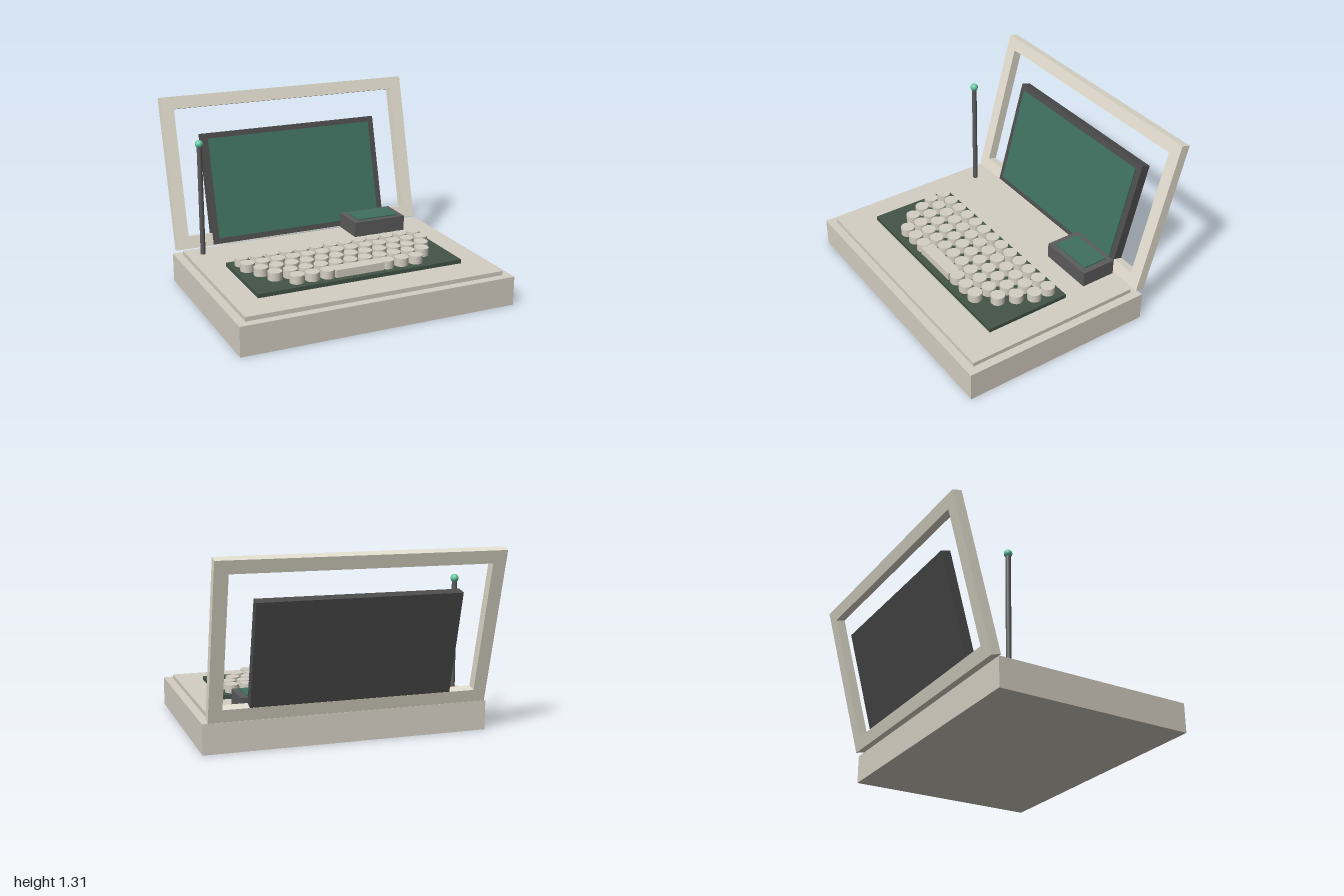
import * as THREE from 'three';

const mat = (color) => new THREE.MeshStandardMaterial({ color });

export function createModel() {
  const model = new THREE.Group();
  model.name = 'portableComputer';

  const shell = mat(0xd4cfc3);
  const lidShell = mat(0xe3decf);
  const dark = mat(0x5c5c5c);
  const panelDark = mat(0x4c4c4c);
  const trayGreen = mat(0x435546);
  const screenGreen = mat(0x3f7060);
  const tipGreen = mat(0x62c8a0);

  const add = (parent, name, geometry, material, x, y, z) => {
    const mesh = new THREE.Mesh(geometry, material);
    mesh.name = name;
    mesh.position.set(x, y, z);
    parent.add(mesh);
    return mesh;
  };
  // box given by its limits on each axis
  const box = (parent, name, material, [x0, x1], [y0, y1], [z0, z1]) =>
    add(parent, name, new THREE.BoxGeometry(x1 - x0, y1 - y0, z1 - z0), material,
      (x0 + x1) / 2, (y0 + y1) / 2, (z0 + z1) / 2);

  // body
  box(model, 'base', shell, [-1, 1], [0, 0.207], [-0.545, 0.867]);
  box(model, 'deck', shell, [-0.94, 0.94], [0.2, 0.237], [-0.49, 0.807]);

  // keyboard: tray, staggered rows of round keys, space bar
  const keyboard = new THREE.Group();
  keyboard.name = 'keyboard';
  model.add(keyboard);
  box(keyboard, 'keyTray', trayGreen, [-0.76, 0.76], [0.23, 0.265], [-0.065, 0.56]);
  const pitch = 0.1117;
  const keyShape = new THREE.CylinderGeometry(0.05, 0.05, 0.065, 24);
  [13, 13, 12, 11, 9].forEach((count, row) => {
    for (let i = 0; i < count; i++) {
      if (row === 4 && i > 2 && i < 6) continue; // room for the space bar
      const x = (i - (count - 1) / 2) * pitch - 0.003;
      add(keyboard, 'key', keyShape, shell, x, 0.2895, 0.022 + row * pitch);
    }
  });
  box(keyboard, 'spaceBar', shell, [-0.183, 0.177], [0.26, 0.32], [0.422, 0.515]);

  // small side display
  const display = new THREE.Group();
  display.name = 'sideDisplay';
  model.add(display);
  box(display, 'displayCase', dark, [0.322, 0.733], [0.235, 0.35], [-0.5, -0.238]);
  box(display, 'displayScreen', screenGreen, [0.368, 0.69], [0.345, 0.36], [-0.463, -0.275]);

  // antenna
  const antenna = new THREE.Group();
  antenna.name = 'antenna';
  antenna.position.set(-0.826, 0, -0.37);
  model.add(antenna);
  add(antenna, 'antennaRod', new THREE.CylinderGeometry(0.018, 0.018, 0.81, 16), dark, 0, 0.635, 0);
  add(antenna, 'antennaTip', new THREE.SphereGeometry(0.028, 20, 14), tipGreen, 0, 1.05, 0);

  // lid leaning back, pivoted at its lower front edge
  const lid = new THREE.Group();
  lid.name = 'lid';
  lid.position.set(0, 0.235, -0.514);
  lid.rotation.x = -0.26;
  model.add(lid);
  const rect = (path, w, y0, y1) =>
    path.moveTo(-w, y0).lineTo(w, y0).lineTo(w, y1).lineTo(-w, y1).closePath();
  const outline = rect(new THREE.Shape(), 0.97, 0, 1.109);
  outline.holes.push(rect(new THREE.Path(), 0.878, 0.09, 1.019));
  add(lid, 'lidFrame',
    new THREE.ExtrudeGeometry(outline, { depth: 0.068, bevelEnabled: false }), lidShell, 0, 0, -0.068);
  box(lid, 'screenPanel', panelDark, [-0.697, 0.697], [0.005, 0.822], [-0.067, 0.001]);
  box(lid, 'screen', screenGreen, [-0.65, 0.65], [0.045, 0.782], [-0.005, 0.011]);

  return model;
}
